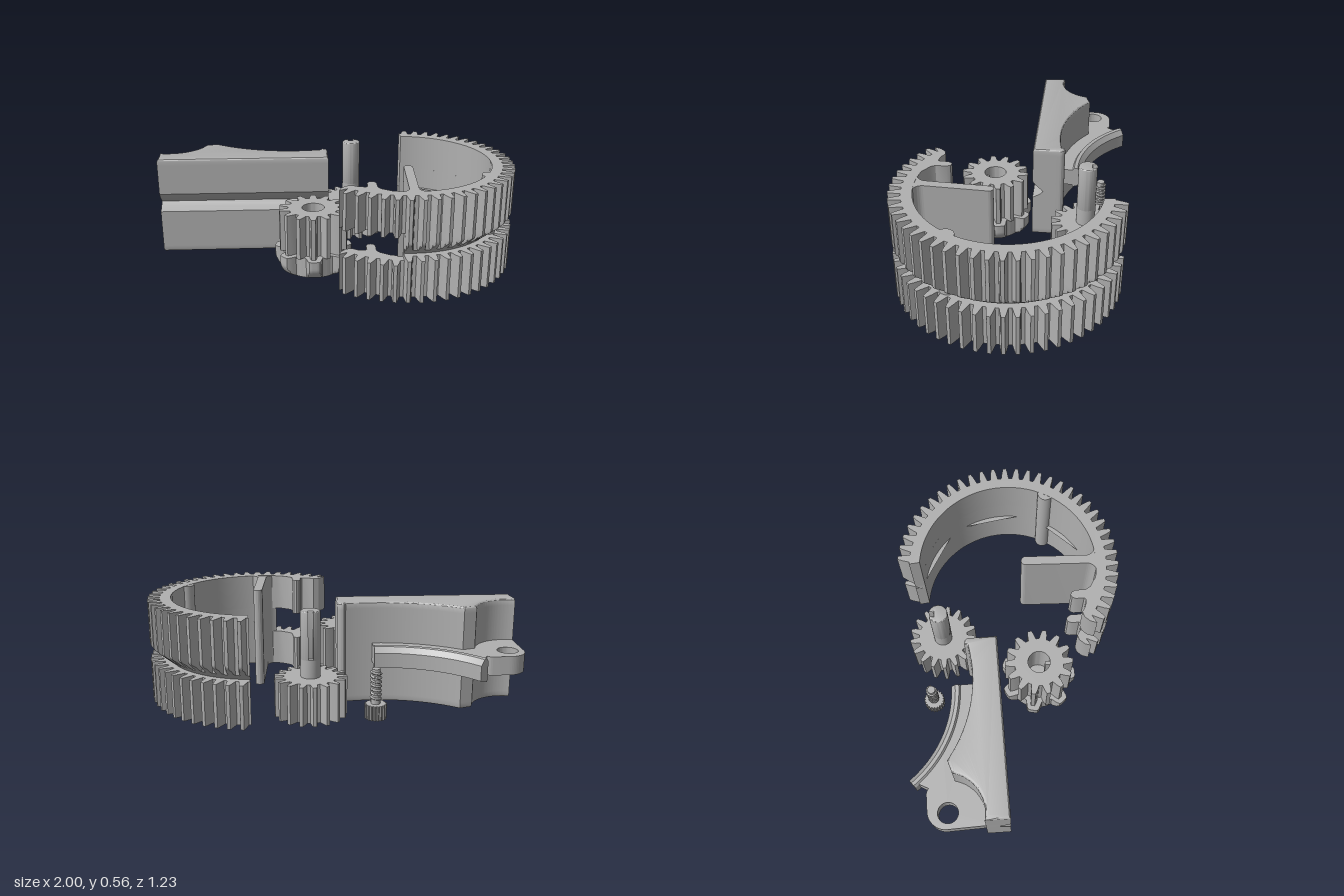
import * as THREE from 'three';
import { toCreasedNormals } from 'three/addons/utils/BufferGeometryUtils.js';

const grey = new THREE.MeshStandardMaterial({ color: 0xb0b0b0, side: THREE.DoubleSide });
grey.name = 'grey plastic';

const V = (x, z) => new THREE.Vector2(x, z);
const polar = (r, a, cx = 0) => V(cx + r * Math.cos(a), r * Math.sin(a));

function part(name, geometry, parent, crease = 0.5) {
  const mesh = new THREE.Mesh(toCreasedNormals(geometry, crease), grey);
  mesh.name = name;
  parent.add(mesh);
}

// Plan outline (x, z) raised from y0 to y1
function slab(shape, y0, y1, { steps = 1, bevel = 0 } = {}) {
  const g = new THREE.ExtrudeGeometry(shape, {
    depth: y1 - y0 - 2 * bevel, steps, curveSegments: 40, bevelEnabled: bevel > 0,
    bevelThickness: bevel, bevelSize: bevel, bevelOffset: -bevel, bevelSegments: 3,
  });
  return g.rotateX(Math.PI / 2).translate(0, y1 - bevel, 0);
}

// Move every vertex of a geometry by a rule
function reshape(g, rule) {
  const p = g.attributes.position;
  const v = new THREE.Vector3();
  for (let i = 0; i < p.count; i++) {
    rule(v.fromBufferAttribute(p, i));
    p.setXYZ(i, v.x, v.y, v.z);
  }
  return g;
}

// Toothed arc made of repeated tooth profiles
function teeth(root, tip, count, a0 = 0, pitch = Math.PI * 2 / count, cx = 0) {
  const pts = [];
  const mid = root + (tip - root) * 0.55;
  const profile = [[0, root], [0.2, root], [0.31, mid], [0.42, tip], [0.68, tip], [0.79, mid], [0.9, root]];
  for (let i = 0; i < count; i++)
    for (const [f, r] of profile) pts.push(polar(r, a0 + (i + f) * pitch, cx));
  return pts;
}

function hole(shape, x, z, r) {
  shape.holes.push(new THREE.Path().absarc(x, z, r, 0, Math.PI * 2, true));
  return shape;
}

// Open ring gear with a tapered groove, a spoke and a hooked end
function ringGear() {
  const group = new THREE.Group();
  group.name = 'ringGear';
  const cx = 0.385, start = -1.49, pitch = 3.74 / 33, slot = start + 28 * pitch;
  const innerArc = (from) => {
    const pts = [];
    for (let i = 0; i <= 60; i++) pts.push(polar(0.49, from + (start + 0.02 - from) * i / 60, cx));
    return pts;
  };
  const hook = [[0, 0.455], [0.012, 0.42], [0.04, 0.39], [0.07, 0.382], [0.1, 0.402], [0.14, 0.41],
    [0.15, 0.4], [0.15, 0.355], [0.16, 0.335], [0.175, 0.328], [0.19, 0.335], [0.2, 0.355],
    [0.2, 0.415], [0.215, 0.44], [0.24, 0.456]].map(([x, z]) => V(x, z));
  const full = new THREE.Shape([...teeth(0.548, 0.615, 33, start, pitch, cx), ...hook, ...innerArc(1.81)]);
  const short = new THREE.Shape([...teeth(0.548, 0.615, 28, start, pitch, cx), ...innerArc(slot)]);

  part('lowerToothedRing', slab(full, 0, 0.21), group);
  part('upperToothedRing', slab(full, 0.36, 0.565), group);
  part('lowerRimTop', slab(short, 0.21, 0.235), group);
  part('taperedGroove', reshape(slab(short, 0.235, 0.36, { steps: 12 }), (v) => {
    const r = Math.hypot(v.x - cx, v.z);
    const k = Math.min(r, 0.515 + (v.y - 0.235) * 1.15) / r;
    v.x = cx + (v.x - cx) * k;
    v.z *= k;
  }), group);

  // Spoke with a rounded tip and a flared root
  const spoke = new THREE.Shape();
  spoke.moveTo(0.3, 0.495);
  spoke.quadraticCurveTo(0.355, 0.48, 0.358, 0.44);
  spoke.lineTo(0.375, 0.1);
  spoke.absarc(0.4, 0.1, 0.025, Math.PI, 2 * Math.PI, false);
  spoke.lineTo(0.408, 0.44);
  spoke.quadraticCurveTo(0.41, 0.48, 0.46, 0.495);
  part('spoke', slab(spoke, 0, 0.564), group);

  part('innerColumn', new THREE.CylinderGeometry(0.045, 0.045, 0.564, 24).translate(0.82, 0.282, 0.25), group);
  return group;
}

// Small gear with a notched shaft
function pinion() {
  const group = new THREE.Group();
  group.name = 'pinion';
  part('pinionTeeth', slab(new THREE.Shape(teeth(0.14, 0.192, 17)), 0, 0.21), group);
  const shaft = new THREE.Shape();
  shaft.absarc(0, 0, 0.052, -Math.PI / 2 + 0.25, 1.5 * Math.PI - 0.25, false);
  shaft.lineTo(-0.013, -0.025);
  shaft.lineTo(0.013, -0.025);
  part('pinionShaft', slab(shaft, 0.3, 0.565, { bevel: 0.008 }), group);
  part('shaftBase', new THREE.CylinderGeometry(0.052, 0.052, 0.11, 32).translate(0, 0.255, 0), group);
  group.position.set(0.12, 0, -0.4);
  return group;
}

// Gear standing on a lobed hand knob
function knobGear() {
  const group = new THREE.Group();
  group.name = 'knobGear';
  const outline = [];
  for (let i = 0; i < 140; i++) {
    const a = i / 140 * Math.PI * 2;
    const lobe = THREE.MathUtils.smoothstep(Math.cos(7 * (a - Math.PI / 2)), -0.5, 0.75);
    outline.push(polar(0.165 + 0.052 * lobe, a));
  }
  part('lobedKnob', reshape(slab(new THREE.Shape(outline), 0, 0.115, { steps: 10 }), (v) => {
    const r = Math.hypot(v.x, v.z);
    const rise = THREE.MathUtils.clamp(v.y / 0.06, 0, 1);
    const k = Math.min(r, 0.165 + 0.052 * Math.sqrt(rise)) / r;
    v.x *= k;
    v.z *= k;
  }), group);
  const gear = hole(new THREE.Shape(teeth(0.138, 0.19, 14)), 0, 0, 0.062);
  part('knobTeeth', slab(gear, 0.115, 0.35), group);
  part('socketKey', new THREE.BoxGeometry(0.02, 0.2, 0.03).translate(0, 0.22, 0.05), group);
  group.position.set(-0.125, 0, 0.135);
  return group;
}

// Knurled screw standing on its head
function screw() {
  const group = new THREE.Group();
  group.name = 'screw';
  part('screwHead', slab(new THREE.Shape(teeth(0.052, 0.058, 20)), 0, 0.08), group);
  part('screwShank', new THREE.CylinderGeometry(0.022, 0.024, 0.2, 20).translate(0, 0.17, 0), group);
  const helix = [];
  for (let i = 0; i <= 112; i++) {
    const a = i / 16 * Math.PI * 2;
    helix.push(new THREE.Vector3(0.025 * Math.cos(a), 0.095 + 0.16 * i / 112, 0.025 * Math.sin(a)));
  }
  part('screwThread', new THREE.TubeGeometry(new THREE.CatmullRomCurve3(helix), 140, 0.007, 5), group, 1.4);
  group.position.set(-0.215, 0, -0.48);
  return group;
}

// Mounting block with a grooved front, a drilled ear and a curved guide rail
function mountingBlock() {
  const group = new THREE.Group();
  group.name = 'mountingBlock';
  const body = new THREE.Shape();
  body.moveTo(-1, -0.09);
  body.lineTo(-0.03, -0.09);
  body.lineTo(-0.03, -0.24);
  body.quadraticCurveTo(-0.03, -0.27, -0.065, -0.268);
  body.absarc(-0.22, -1, 0.765, 1.38, 2.22, false);
  body.absarc(-0.95, -0.42, 0.205, 0.25, 1.81, false);
  part('blockBody', reshape(slab(body, 0, 0.565, { steps: 25, bevel: 0.015 }), (v) => {
    if (v.z < -0.1) return;
    const t = v.y > 0.285 ? (0.35 - v.y) / 0.065 : (v.y - 0.255) / 0.03;
    v.z -= 0.07 * THREE.MathUtils.clamp(t, 0, 1);
  }), group);

  // Ear and web behind the rail
  const plate = new THREE.Shape();
  plate.moveTo(-0.995, -0.18);
  plate.lineTo(-1, -0.425);
  plate.absarc(-0.9, -0.425, 0.1, Math.PI, 1.5 * Math.PI, false);
  plate.lineTo(-0.815, -0.525);
  plate.quadraticCurveTo(-0.79, -0.525, -0.78, -0.51);
  plate.lineTo(-0.745, -0.575);
  plate.absarc(-0.22, -1, 0.675, 2.46, Math.PI / 2, true);
  plate.lineTo(-0.22, -0.2);
  part('earPlate', slab(hole(plate, -0.915, -0.415, 0.055), 0.235, 0.335), group);

  // Rail swept along an arc, with flat ends
  const profile = [[0.637, 0.235], [0.69, 0.22], [0.692, 0.33], [0.68, 0.348], [0.66, 0.345],
    [0.637, 0.315], [0.637, 0.235]].map(([r, y]) => V(r, y));
  const from = -0.92;
  part('guideRail', new THREE.LatheGeometry(profile, 40, from, -from).translate(-0.22, 0, -1), group);
  for (const phi of [from, 0]) {
    const cap = new THREE.ShapeGeometry(new THREE.Shape(profile)).rotateY(phi - Math.PI / 2);
    part('railEnd', cap.translate(-0.22, 0, -1), group);
  }
  return group;
}

export function createModel() {
  const model = new THREE.Group();
  model.name = 'gearKit';
  model.add(ringGear(), pinion(), knobGear(), screw(), mountingBlock());
  return model;
}
